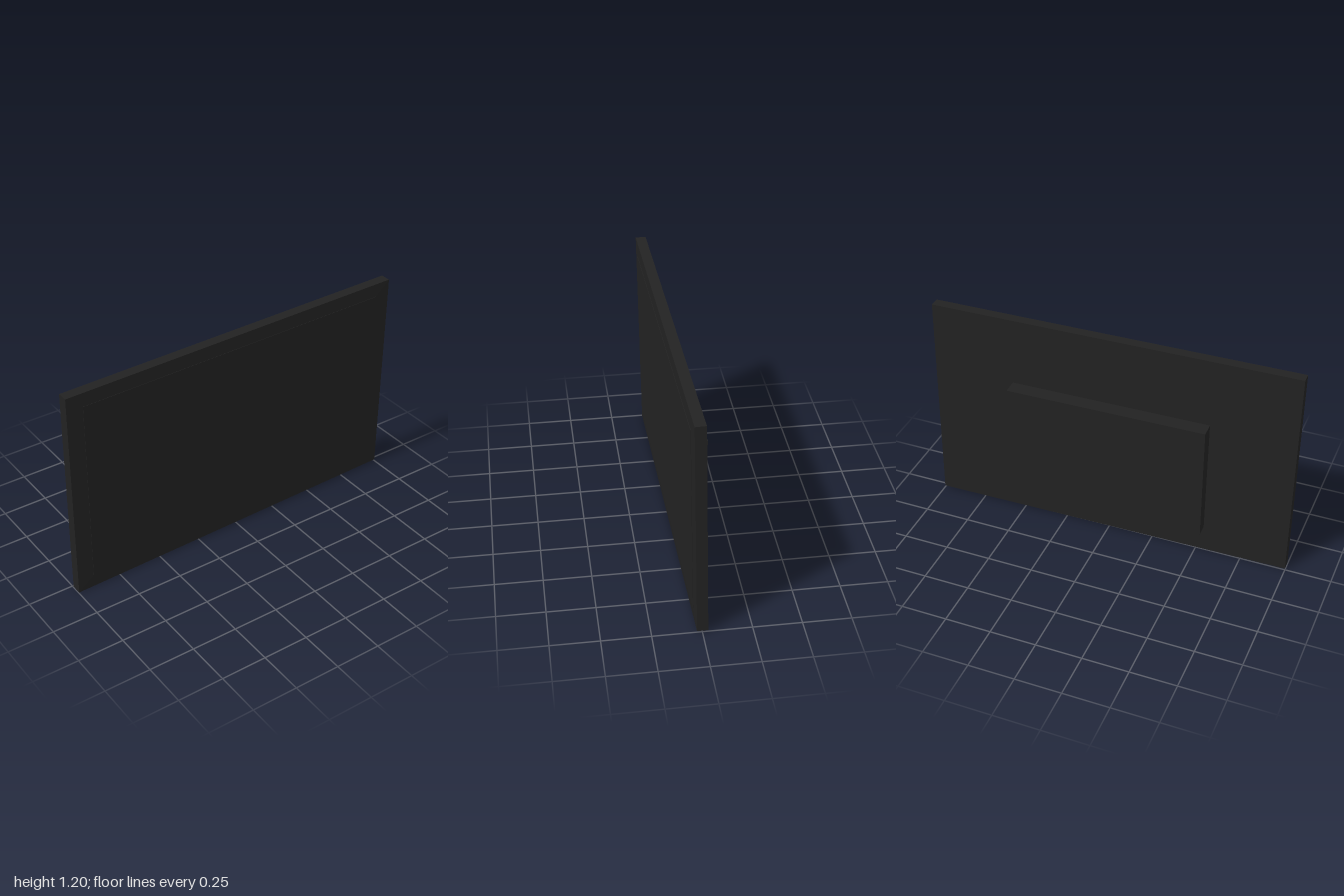
import * as THREE from 'three';

export function createModel() {
  const black = new THREE.MeshStandardMaterial({ color: 0x222222 });
  black.name = 'matte black';

  const addMesh = (parent, name, geometry, x, y, z) => {
    const mesh = new THREE.Mesh(geometry, black);
    mesh.name = name;
    mesh.position.set(x, y, z);
    parent.add(mesh);
    return mesh;
  };

  const W = 1.998, H = 1.188, T = 0.056;      // panel size
  const SCREEN_W = 1.82, SCREEN_H = 1.04;     // visible screen
  const BEVEL = 0.003;

  const model = new THREE.Group();
  model.name = 'flatScreenTelevision';

  // The whole set hangs very slightly turned and rolled
  const body = new THREE.Group();
  body.name = 'body';
  body.position.set(0, 0.599, 0.028);
  body.rotation.set(0, 0.019, 0.0035);
  model.add(body);

  // Display panel leans a little forward
  const panel = new THREE.Group();
  panel.name = 'panel';
  panel.rotation.x = 0.0175;
  body.add(panel);
  addMesh(panel, 'housing', new THREE.BoxGeometry(W, H, T), 0, 0, 0);

  // Shallow bezel, sloping from the outer edge up to the screen
  const bezel = new THREE.BoxGeometry(W, H, BEVEL);
  const p = bezel.attributes.position;
  for (let i = 0; i < p.count; i++) {
    if (p.getZ(i) > 0) {
      p.setXY(i, Math.sign(p.getX(i)) * SCREEN_W / 2, Math.sign(p.getY(i)) * SCREEN_H / 2);
    }
  }
  bezel.computeVertexNormals();
  addMesh(panel, 'bezel', bezel, 0, 0, T / 2 + BEVEL / 2);

  // Screen stands just proud of the bezel
  addMesh(panel, 'screen', new THREE.BoxGeometry(SCREEN_W, SCREEN_H, 0.004), 0, 0, T / 2 + BEVEL);

  // Rear electronics box, upright against the back
  addMesh(body, 'rearBox', new THREE.BoxGeometry(1.09, 0.658, 0.09), 0.005, -0.114, -0.06);

  return model;
}
